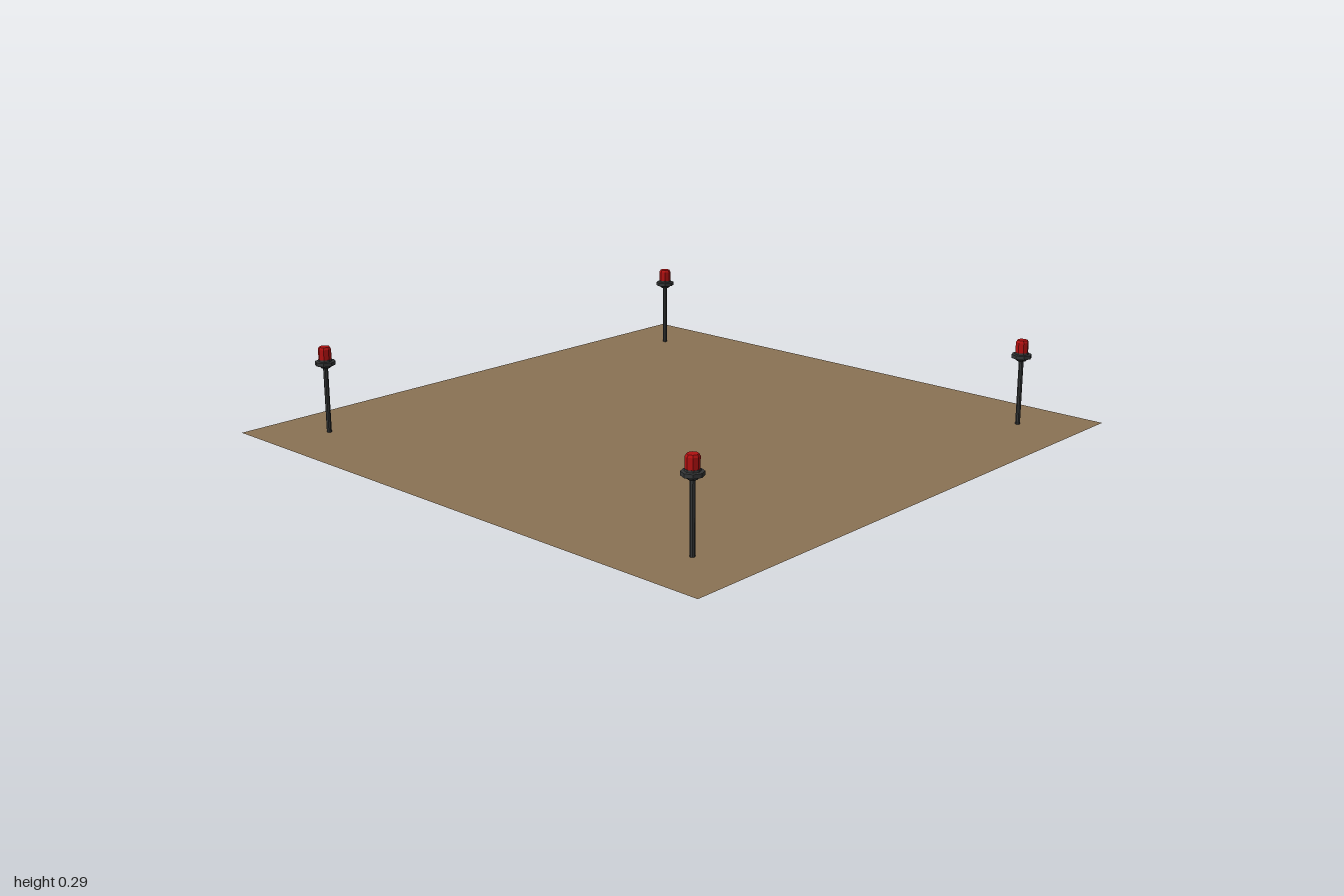
import * as THREE from 'three';

export function createModel() {
  const group = new THREE.Group();
  const mat = (name, color, extra = {}) => {
    const m = new THREE.MeshStandardMaterial({ color, ...extra });
    m.name = name;
    return m;
  };
  const earth = mat('earth brown', 0x8b7355, { side: THREE.DoubleSide });
  const metal = mat('dark metal', 0x333536, { flatShading: true });
  const red = mat('lamp red', 0xb01010, { flatShading: true });

  // thin square ground sheet
  const ground = new THREE.Mesh(new THREE.PlaneGeometry(2, 2), earth);
  ground.name = 'groundSheet';
  ground.rotation.x = -Math.PI / 2;
  ground.position.y = 0.001;
  group.add(ground);

  // lathe profiles, from bottom to top
  const lathe = (points) =>
    new THREE.LatheGeometry(points.map(([r, y]) => new THREE.Vector2(r, y)), 8);
  const parts = [
    ['pole', new THREE.CylinderGeometry(0.008, 0.008, 0.225, 8).translate(0, 0.1125, 0), metal],
    ['lampBase', lathe([[0, 0.216], [0.015, 0.218], [0.022, 0.226], [0.033, 0.228],
      [0.033, 0.24], [0.023, 0.241], [0.022, 0.247], [0, 0.247]]), metal],
    ['redLamp', lathe([[0, 0.242], [0.021, 0.242], [0.021, 0.281], [0.017, 0.288], [0, 0.288]]), red],
  ];

  // one lamp post near each corner
  for (const x of [-0.8, 0.8]) {
    for (const z of [-0.8, 0.8]) {
      const post = new THREE.Group();
      post.name = (z > 0 ? 'front' : 'back') + (x > 0 ? 'Left' : 'Right') + 'LampPost';
      for (const [name, geometry, material] of parts) {
        const mesh = new THREE.Mesh(geometry, material);
        mesh.name = name;
        post.add(mesh);
      }
      post.position.set(x, 0, z);
      group.add(post);
    }
  }
  return group;
}
